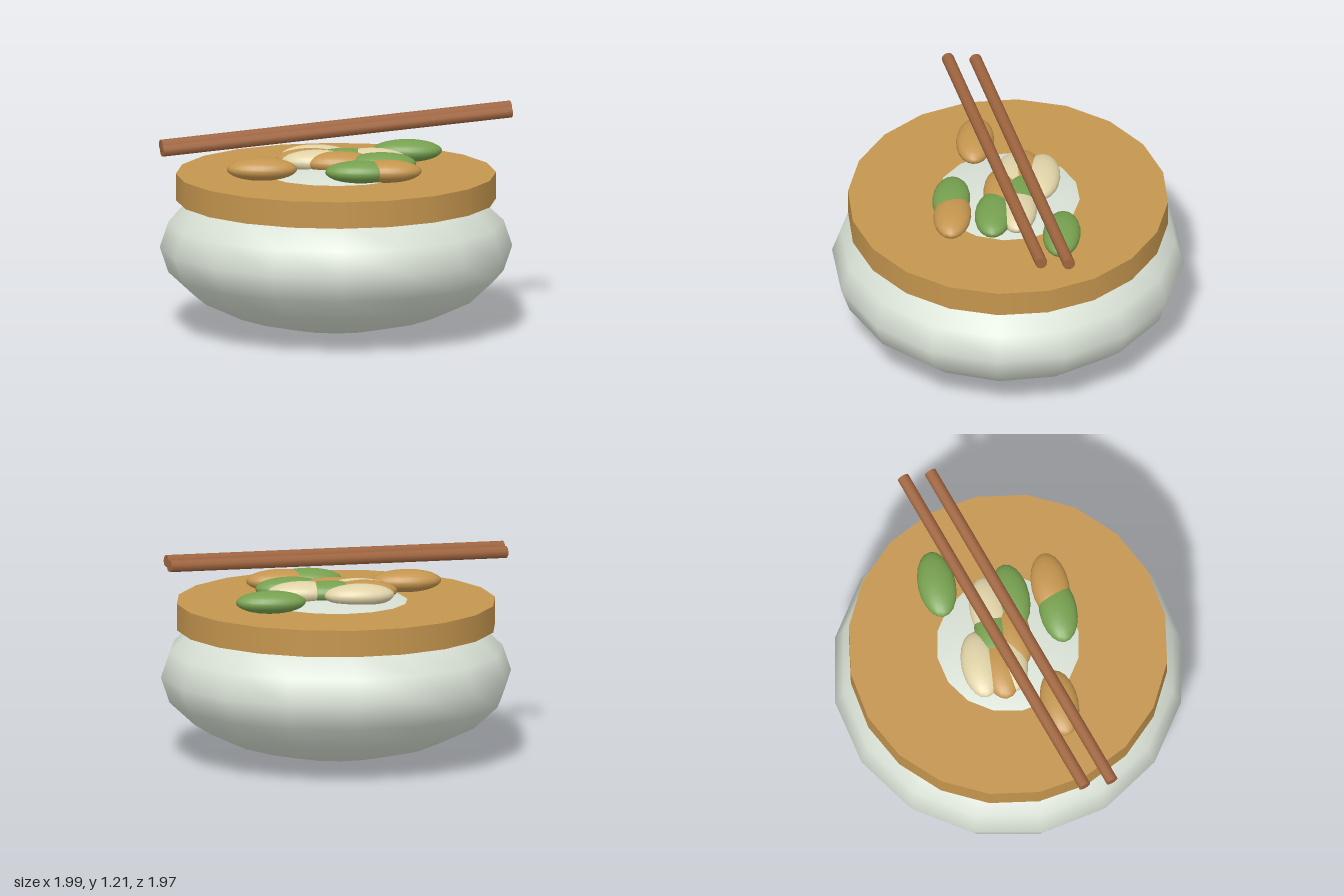
import * as THREE from 'three';

const material = (name, color) => {
  const m = new THREE.MeshStandardMaterial({ color });
  m.name = name;
  return m;
};

export function createModel() {
  const model = new THREE.Group();
  model.name = 'noodleBowl';

  const porcelain = material('porcelain', 0xd8e0d4);
  const broth = material('broth', 0xc4954e);
  const green = material('green', 0x76a04f);
  const cream = material('cream', 0xe0d3a8);
  const wood = material('wood', 0xa0653f);

  const add = (name, geometry, mat, x, y, z) => {
    const mesh = new THREE.Mesh(geometry, mat);
    mesh.name = name;
    mesh.position.set(x, y, z);
    model.add(mesh);
    return mesh;
  };

  // Squashed round bowl whose crown rises just above the broth
  add('bowl', new THREE.SphereGeometry(1, 16, 10), porcelain, 0, 0.463, 0)
    .scale.set(0.985, 0.463, 0.985);

  // Thick broth disc
  add('brothDisc', new THREE.CylinderGeometry(0.895, 0.895, 0.15, 20), broth, 0, 0.805, 0);

  // Toppings: flattened ovals lying at one height
  const toppings = [
    [green, 0.405, -0.325], [green, 0.05, -0.07], [green, 0.25, 0.065], [green, 0.127, 0.31],
    [cream, -0.11, -0.18], [cream, -0.11, -0.02], [cream, 0.2, -0.07],
    [broth, -0.14, -0.07], [broth, 0.02, 0.03], [broth, 0.273, 0.295], [broth, -0.42, 0.21],
  ];
  const oval = new THREE.SphereGeometry(1, 20, 14);
  toppings.forEach(([mat, x, z], i) => {
    add(`topping${i + 1}`, oval, mat, x, 0.942, z).scale.set(0.197, 0.063, 0.106);
  });

  // Pair of parallel chopsticks, tilted up towards +x
  const dir = new THREE.Vector3(1.97, 0.09, -0.645);
  const stick = new THREE.CylinderGeometry(0.034, 0.034, dir.length(), 10);
  const turn = new THREE.Quaternion().setFromUnitVectors(
    new THREE.Vector3(0, 1, 0), dir.clone().normalize());
  [-0.08, 0.075].forEach((z, i) => {
    add(`chopstick${i + 1}`, stick, wood, 0, 1.13, z).quaternion.copy(turn);
  });

  return model;
}
